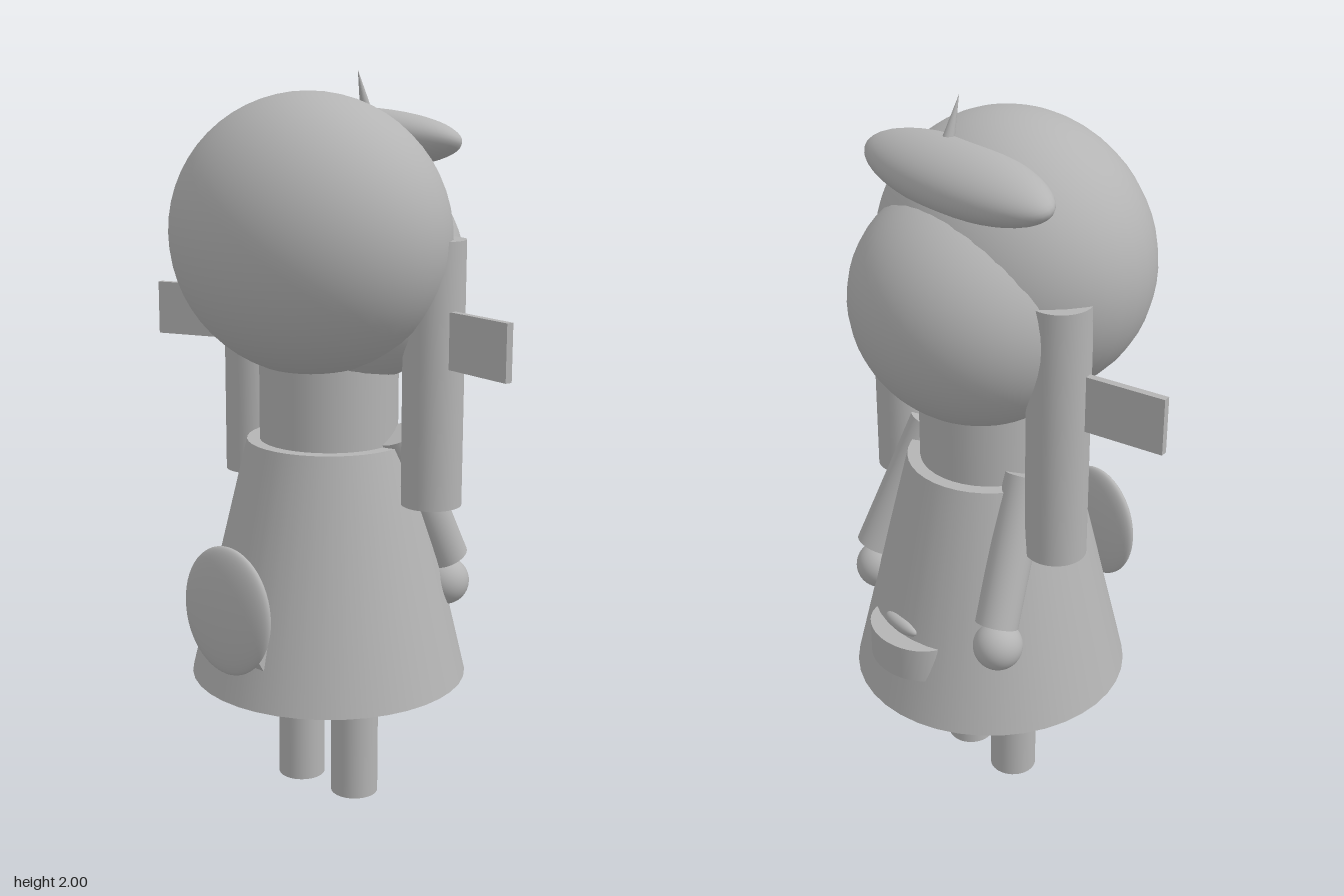
import * as THREE from 'three';

const grey = new THREE.MeshStandardMaterial({ color: 0xb4b4b4 });
grey.name = 'plain grey';

export function createModel() {
  const model = new THREE.Group();
  model.name = 'doll';

  const add = (name, geometry, x, y, z, parent = model) => {
    const mesh = new THREE.Mesh(geometry, grey);
    mesh.name = name;
    mesh.position.set(x, y, z);
    parent.add(mesh);
    return mesh;
  };
  const ellipsoid = (rx, ry, rz) => new THREE.SphereGeometry(1, 40, 28).scale(rx, ry, rz);
  // upright cylinder between two heights
  const column = (name, rTop, rBottom, y0, y1, x, z, parent) =>
    add(name, new THREE.CylinderGeometry(rTop, rBottom, y1 - y0, 40), x, (y0 + y1) / 2, z, parent);

  // head: face in front, hair behind
  add('face', ellipsoid(0.4, 0.37, 0.332), 0, 1.58, 0.05);
  add('backHair', ellipsoid(0.345, 0.32, 0.322), 0, 1.48, -0.08);

  // beret with its stem
  add('beret', ellipsoid(0.34, 0.078, 0.113), 0, 1.825, -0.143).rotation.x = -0.28;
  add('beretStem', new THREE.ConeGeometry(0.017, 0.12, 16), 0.06, 1.945, -0.098).rotation.x = 0.33;

  // body
  column('torso', 0.19, 0.19, 0.95, 1.35, 0, -0.035);
  column('dress', 0.225, 0.385, 0.35, 1.02, 0, -0.035);

  // paired parts
  for (const s of [1, -1]) {
    const side = new THREE.Group();
    side.name = s > 0 ? 'leftSide' : 'rightSide';
    model.add(side);

    column('leg', 0.066, 0.066, 0, 0.45, s * 0.097, -0.032, side);
    column('pigtail', 0.081, 0.081, 0.875, 1.58, s * 0.314, -0.08, side);

    const ribbon = add('ribbon', new THREE.BoxGeometry(0.26, 0.15, 0.02), s * 0.474, 1.327, -0.031, side);
    ribbon.rotation.y = -s * 0.27;

    const shoulder = new THREE.Vector3(s * 0.2, 1.05, -0.08);
    const wrist = new THREE.Vector3(s * 0.262, 0.68, -0.238);
    const dir = shoulder.clone().sub(wrist);
    const mid = shoulder.clone().add(wrist).multiplyScalar(0.5);
    const arm = add('arm', new THREE.CylinderGeometry(0.058, 0.058, dir.length(), 32), mid.x, mid.y, mid.z, side);
    arm.quaternion.setFromUnitVectors(new THREE.Vector3(0, 1, 0), dir.normalize());
    add('hand', ellipsoid(0.067, 0.067, 0.067), s * 0.26, 0.61, -0.232, side);
  }

  // oval badge in front of the dress, with a small tilted block under it
  add('frontOval', ellipsoid(0.147, 0.175, 0.035), 0, 0.63, 0.385);
  add('frontBlock', new THREE.BoxGeometry(0.13, 0.09, 0.09), 0, 0.489, 0.285).rotation.x = 0.585;

  // rounded pouch on the back, with a flat bead on top
  const pouch = column('backPouch', 1, 1, 0.475, 0.575, 0, -0.31);
  pouch.scale.set(0.14, 1, 0.11);
  add('pouchBead', ellipsoid(0.065, 0.022, 0.022), 0, 0.597, -0.355);

  return model;
}
